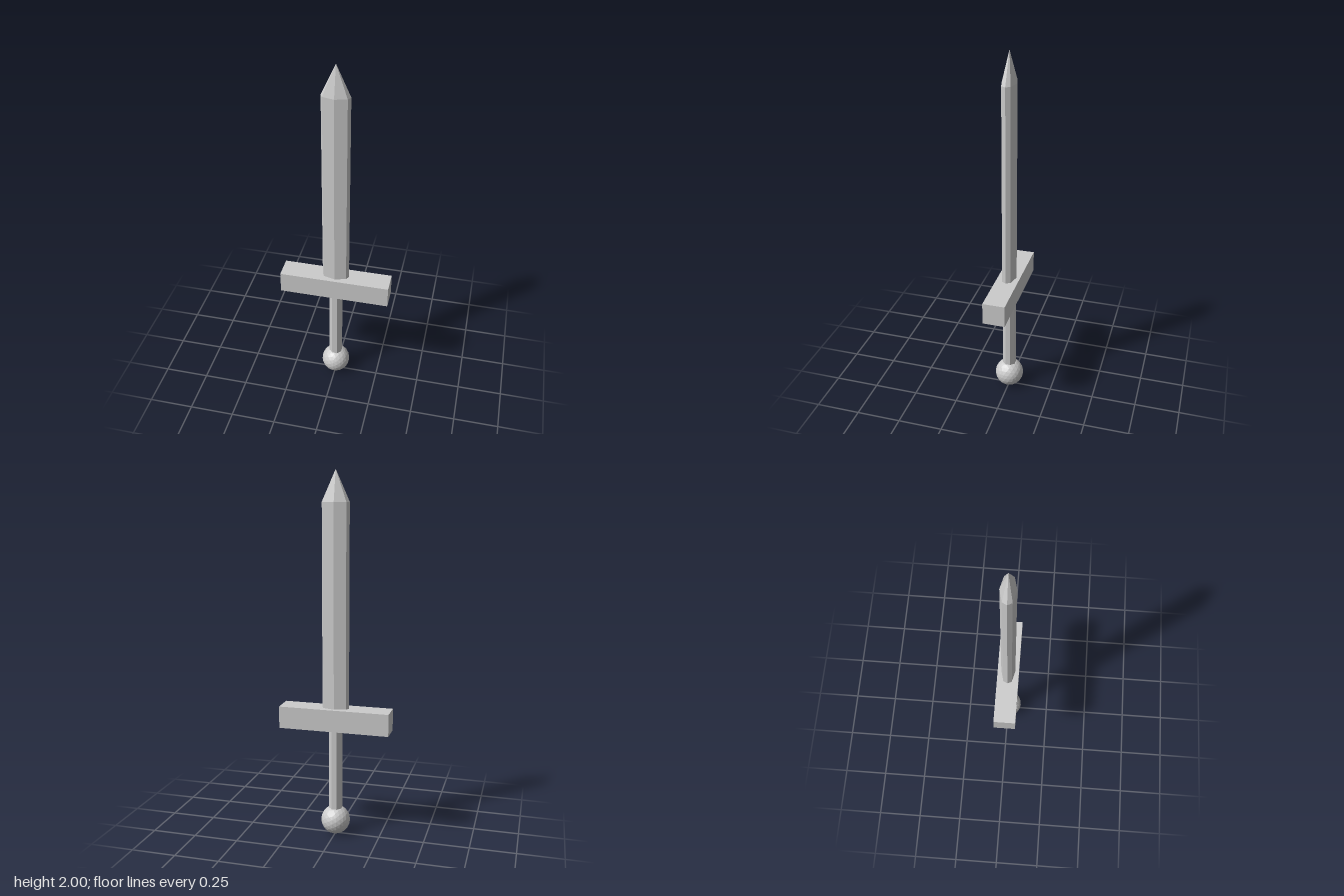
import * as THREE from 'three';

const material = new THREE.MeshStandardMaterial({ color: 0xcccccc, flatShading: true });

function part(name, geometry, y, parent) {
  const mesh = new THREE.Mesh(geometry, material);
  mesh.name = name;
  mesh.position.y = y;
  parent.add(mesh);
  return mesh;
}

// Eight-sided prism or cone whose ring follows the bevelled blade section
function bladeSection(topScale, height) {
  const ring = [[0, 0.04], [0.063, 0.024], [0.075, 0], [0.063, -0.024],
    [0, -0.04], [-0.063, -0.024], [-0.075, 0], [-0.063, 0.024]];
  const positions = [];
  ring.forEach(([ax, az], i) => {
    const [bx, bz] = ring[(i + 1) % ring.length];
    const s = topScale;
    positions.push(ax, 0, az, bx, 0, bz, bx * s, height, bz * s);
    if (s > 0) positions.push(ax, 0, az, bx * s, height, bz * s, ax * s, height, az * s);
  });
  const geometry = new THREE.BufferGeometry();
  geometry.setAttribute('position', new THREE.Float32BufferAttribute(positions, 3));
  geometry.computeVertexNormals();
  return geometry;
}

export function createModel() {
  const sword = new THREE.Group();
  sword.name = 'sword';

  // Blade with bevelled edges and a pointed tip
  part('blade', bladeSection(1, 1.105), 0.73, sword);
  part('bladeTip', bladeSection(0, 0.165), 1.835, sword);

  // Crossguard block
  part('crossguard', new THREE.BoxGeometry(0.612, 0.122, 0.122), 0.672, sword);

  // Octagonal grip, flats facing front and sides
  const grip = new THREE.CylinderGeometry(0.038, 0.038, 0.5, 8);
  grip.rotateY(Math.PI / 8);
  part('grip', grip, 0.37, sword);

  // Faceted ball pommel
  part('pommel', new THREE.IcosahedronGeometry(0.081, 3), 0.081, sword);

  return sword;
}
